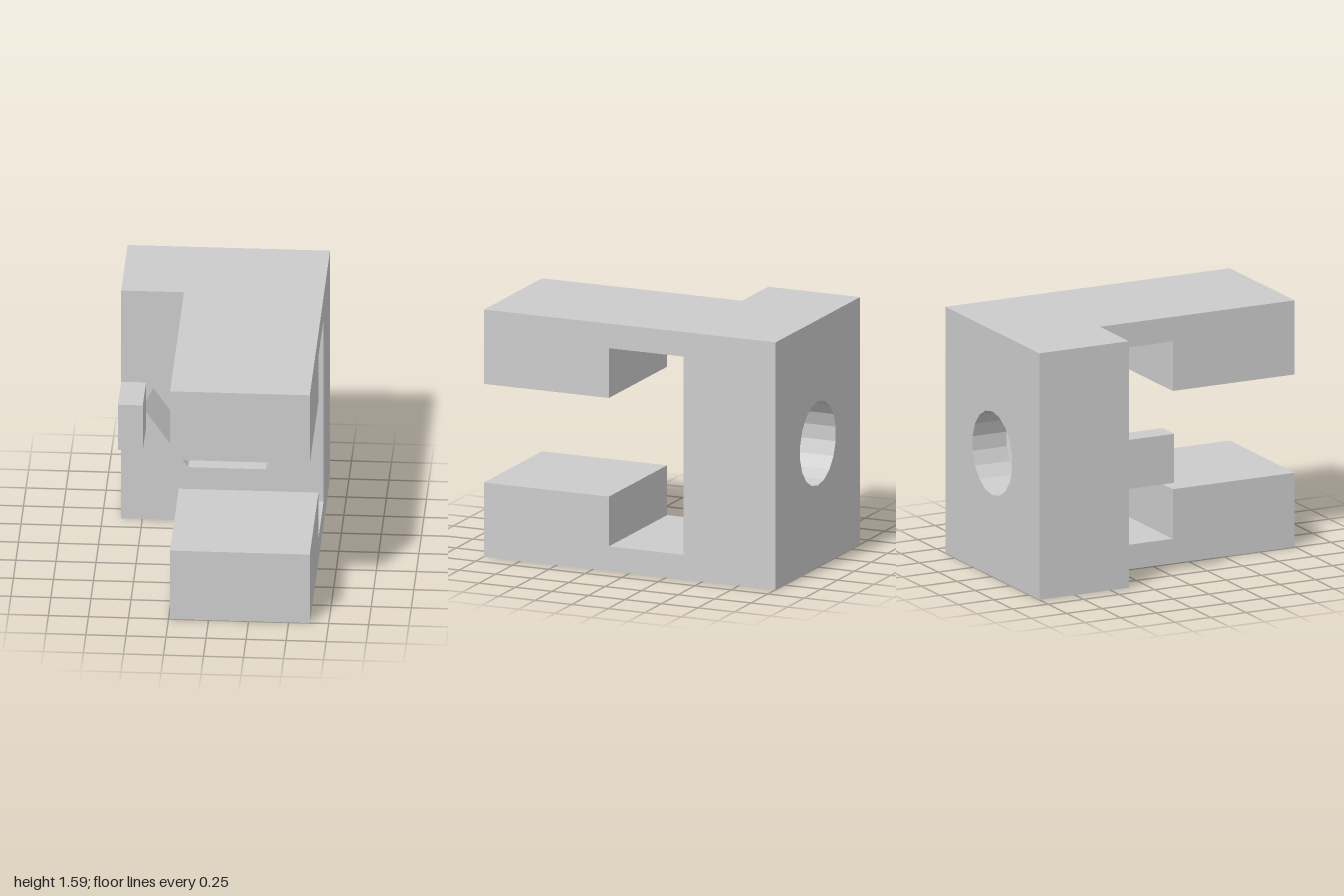
import * as THREE from 'three';

const HEIGHT = 1.59, LEFT = 0.632, ARM_RIGHT = -0.24;
const BACK = -1, POCKET_FLOOR = -0.76, PLATE_FRONT = -0.37;
const CENTRE_Y = HEIGHT / 2;

const points = list => list.map(([x, y]) => new THREE.Vector2(x, y));

export function createModel() {
  const group = new THREE.Group();
  const material = new THREE.MeshStandardMaterial({ color: 0xcccccc, flatShading: true });
  const add = (name, geometry) => {
    const mesh = new THREE.Mesh(geometry, material);
    mesh.name = name;
    group.add(mesh);
  };

  // Rectangular slab with an opening, spanning zBack to zFront
  const plateLayer = (name, opening, zBack, zFront) => {
    const shape = new THREE.Shape(points([[-LEFT, 0], [LEFT, 0], [LEFT, HEIGHT], [-LEFT, HEIGHT]]));
    shape.holes.push(new THREE.Path(points(opening)));
    const geometry = new THREE.ExtrudeGeometry(shape, { depth: zFront - zBack, bevelEnabled: false });
    add(name, geometry.translate(0, 0, zBack));
  };

  // Rear of the plate: round hole with 18 sides
  const round = Array.from({ length: 18 }, (_, i) => {
    const a = Math.PI / 2 + i * Math.PI / 9;
    return [0.27 * Math.cos(a), CENTRE_Y + 0.27 * Math.sin(a)];
  });
  plateLayer('backPlate', round, BACK, POCKET_FLOOR);

  // Front of the plate: hexagonal nut pocket, point-symmetric about the hole
  const half = [[0.5, 0.014], [0.215, 0.425], [-0.27, 0.425]];
  const hexagon = [...half, ...half.map(([x, y]) => [-x, -y])].map(([x, y]) => [x, CENTRE_Y + y]);
  plateLayer('nutPocketPlate', hexagon, POCKET_FLOOR, PLATE_FRONT);

  // Stepped arms: side profile in (z, y), thin neck then thick jaw
  const profile = [[PLATE_FRONT, 0], [1, 0], [1, 0.478], [0.143, 0.478], [0.143, 0.158], [PLATE_FRONT, 0.158]];
  for (const [name, flip] of [['lowerArm', false], ['upperArm', true]]) {
    const shape = new THREE.Shape(points(profile.map(([z, y]) => [z, flip ? HEIGHT - y : y])));
    const geometry = new THREE.ExtrudeGeometry(shape, { depth: LEFT - ARM_RIGHT, bevelEnabled: false });
    add(name, geometry.rotateY(-Math.PI / 2).translate(LEFT, 0, 0));
  }

  // Small tab standing out from the plate edge
  const tab = new THREE.BoxGeometry(0.155, 0.316, 0.318);
  add('sideTab', tab.translate(-LEFT + 0.0775, CENTRE_Y, PLATE_FRONT + 0.159));

  return group;
}
